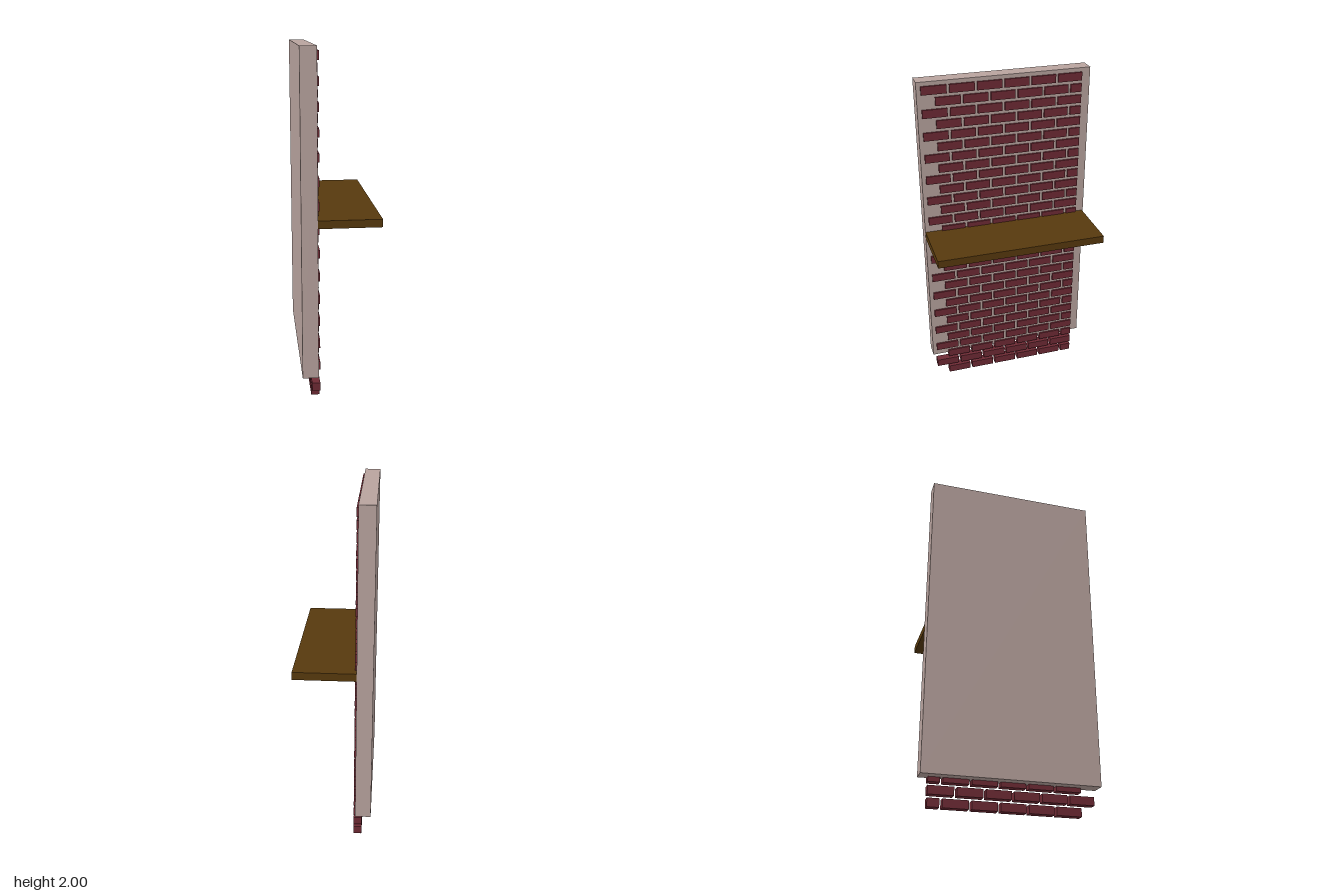
import * as THREE from 'three';

const wallMat = new THREE.MeshStandardMaterial({ color: 0xb8a39e });
const brickMat = new THREE.MeshStandardMaterial({ color: 0x6e2a34 });
const woodMat = new THREE.MeshStandardMaterial({ color: 0x57390d });

// Box given by its minimum and maximum corners
function box(name, material, min, max) {
  const size = max.map((v, i) => v - min[i]);
  const mesh = new THREE.Mesh(new THREE.BoxGeometry(...size), material);
  mesh.position.set(...min.map((v, i) => (v + max[i]) / 2));
  mesh.name = name;
  return mesh;
}

// Running-bond courses: even rows are shifted and end with a half brick
function createBricks() {
  const bricks = new THREE.Group();
  bricks.name = 'bricks';
  const rows = 30, perRow = 6, rowStep = 0.0665, pitch = 0.158;
  const length = 0.143, height = 0.048, endZ = -0.453;
  for (let r = 0; r < rows; r++) {
    const startZ = r % 2 ? 0.48 : 0.403;
    const y = r * rowStep;
    for (let i = 0; i < perRow; i++) {
      const z = startZ - i * pitch;
      const zEnd = Math.max(z - length, endZ);
      bricks.add(box('brick', brickMat, [-0.167, y, zEnd], [-0.12, y + height, z]));
    }
  }
  return bricks;
}

export function createModel() {
  const model = new THREE.Group();
  model.name = 'brickWallWithShelf';
  // Mortar slab, stopping above the lowest courses
  model.add(box('wall', wallMat, [-0.222, 0.16, -0.504], [-0.131, 2, 0.504]));
  model.add(createBricks());
  // Wooden shelf standing out from the brick face
  model.add(box('shelf', woodMat, [-0.131, 1.038, -0.498], [0.222, 1.083, 0.503]));
  return model;
}
